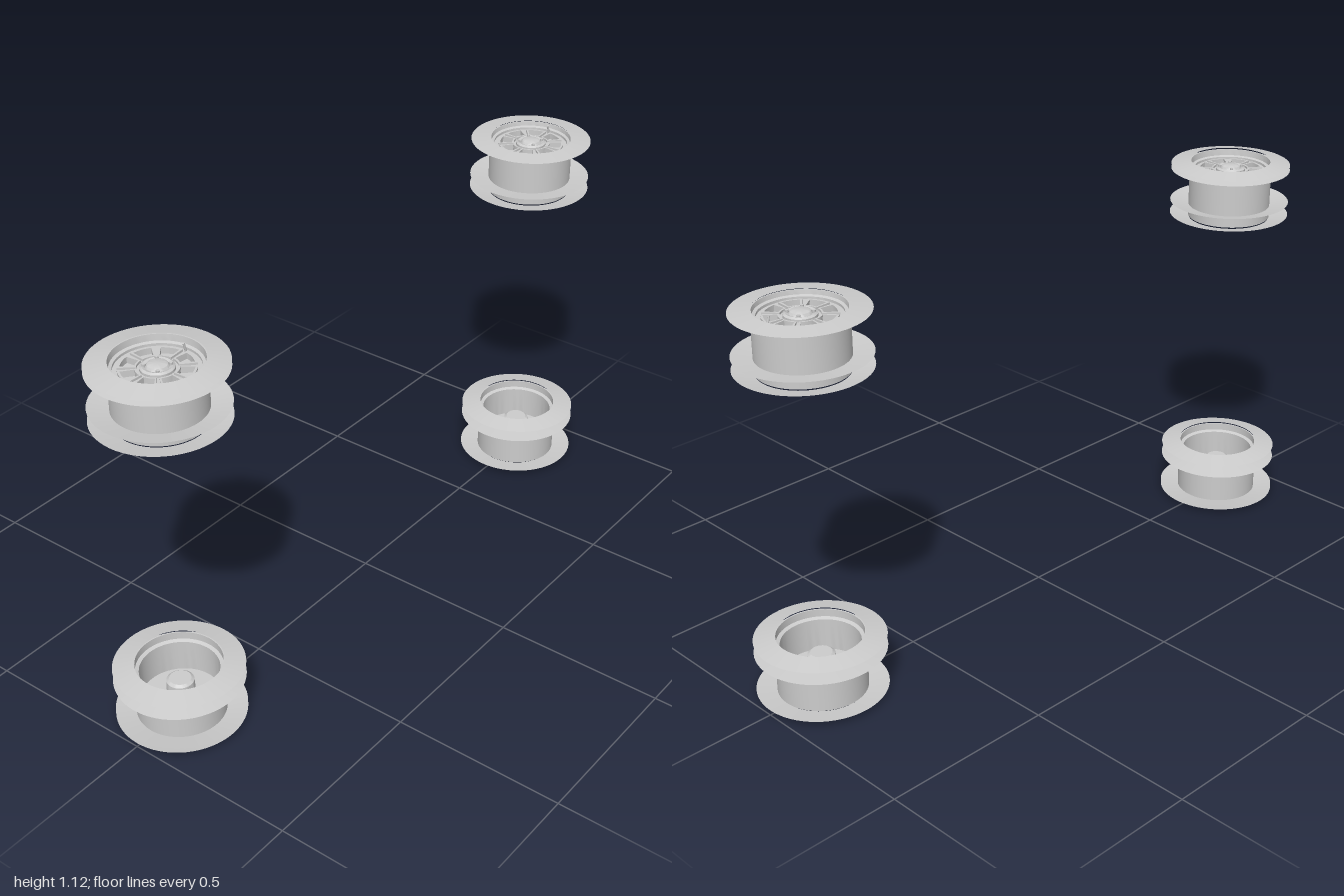
import * as THREE from 'three';
import { toCreasedNormals } from 'three/addons/utils/BufferGeometryUtils.js';

const grey = new THREE.MeshStandardMaterial({ color: 0xcccccc, side: THREE.DoubleSide });

function add(parent, name, geometry) {
  const mesh = new THREE.Mesh(geometry, grey);
  mesh.name = name;
  parent.add(mesh);
  return mesh;
}

// Turned part from [radius, height] pairs, with sharp edges kept
function turned(points, segments = 64) {
  const profile = points.map(([r, y]) => new THREE.Vector2(r, y));
  return toCreasedNormals(new THREE.LatheGeometry(profile, segments), 0.5);
}

// Sector-shaped outline between two radii and two angles
function sector(Type, r0, r1, a0, a1) {
  const s = new Type();
  s.absarc(0, 0, r1, a0, a1, false);
  s.absarc(0, 0, r0, a1, a0, true);
  s.closePath();
  return s;
}

// Flat shape extruded upward from height y
function plate(shape, depth, y) {
  return new THREE.ExtrudeGeometry(shape, { depth, bevelEnabled: false, curveSegments: 24 })
    .rotateX(-Math.PI / 2).translate(0, y, 0);
}

// One wheel: axis along y, outer face up, resting on y = 0
function createWheel(wide) {
  const wheel = new THREE.Group();

  // Hollow barrel with stepped lips at both ends
  add(wheel, 'barrel', turned([
    [0.123, 0.004], [0.123, wide ? 0.174 : 0.168], [0.119, wide ? 0.174 : 0.168],
    [0.117, 0.156], [0.109, 0.153], [0.109, 0.03], [0.119, 0.026], [0.119, 0.004], [0.123, 0.004],
  ]));

  // Thin dished flanges: [inner height, outer height]
  const flanges = wide
    ? [[0.178, 0.166], [0.163, 0.152], [0.039, 0.051], [0, 0.012]]
    : [[0.170, 0.163], [0.041, 0.048], [0, 0.012]];
  for (const [inner, outer] of flanges) {
    add(wheel, 'flange', turned([[0.121, inner], [0.179, outer]]));
  }

  // Wheel face with eight windows, in front of a backing plate
  const face = new THREE.Shape();
  face.absarc(0, 0, 0.11, 0, Math.PI * 2, false);
  const step = Math.PI / 4;
  for (let i = 0; i < 8; i++) {
    const mid = (i + 0.5) * step;
    face.holes.push(sector(THREE.Path, 0.055, 0.092, mid - 0.27, mid + 0.27));

    // Raised frame around each window
    const frame = sector(THREE.Shape, 0.051, 0.097, mid - 0.33, mid + 0.33);
    frame.holes.push(sector(THREE.Path, 0.056, 0.091, mid - 0.26, mid + 0.26));
    add(wheel, 'windowFrame', plate(frame, 0.006, 0.146));
  }
  add(wheel, 'face', plate(face, 0.012, 0.134));
  add(wheel, 'backingPlate', new THREE.CylinderGeometry(0.11, 0.11, 0.004, 64).translate(0, 0.126, 0));

  // Hub cap on the face and axle boss behind it
  add(wheel, 'hubCap', turned([
    [0.044, 0.144], [0.044, 0.153], [0.038, 0.157], [0.03, 0.154], [0.026, 0.16], [0.02, 0.163], [0, 0.163],
  ], 32));
  add(wheel, 'axleBoss', turned([[0, 0.062], [0.03, 0.062], [0.038, 0.068], [0.04, 0.126]], 32));

  // Lug nuts
  for (let i = 0; i < 4; i++) {
    const a = (i + 0.5) * Math.PI / 2;
    add(wheel, 'lugNut', new THREE.CylinderGeometry(0.005, 0.005, 0.008, 6)
      .translate(0.033 * Math.cos(a), 0.158, 0.033 * Math.sin(a)));
  }

  // Valve stem
  const valve = add(wheel, 'valveStem', new THREE.CylinderGeometry(0.003, 0.003, 0.03, 8));
  valve.position.set(0.098, 0.158, 0);
  valve.rotation.z = 0.25;
  return wheel;
}

export function createModel() {
  const model = new THREE.Group();
  model.name = 'wheelSet';
  for (const side of [-1, 1]) {
    for (const upper of [true, false]) {
      const wheel = createWheel(side < 0);
      wheel.name = (upper ? 'upper' : 'lower') + (side < 0 ? 'Right' : 'Left') + 'Wheel';
      // Upper wheels face up, lower wheels face down
      wheel.position.set(side * 0.821, upper ? 0.94 : 0.178, 0);
      if (!upper) wheel.rotation.x = Math.PI;
      model.add(wheel);
    }
  }
  return model;
}
